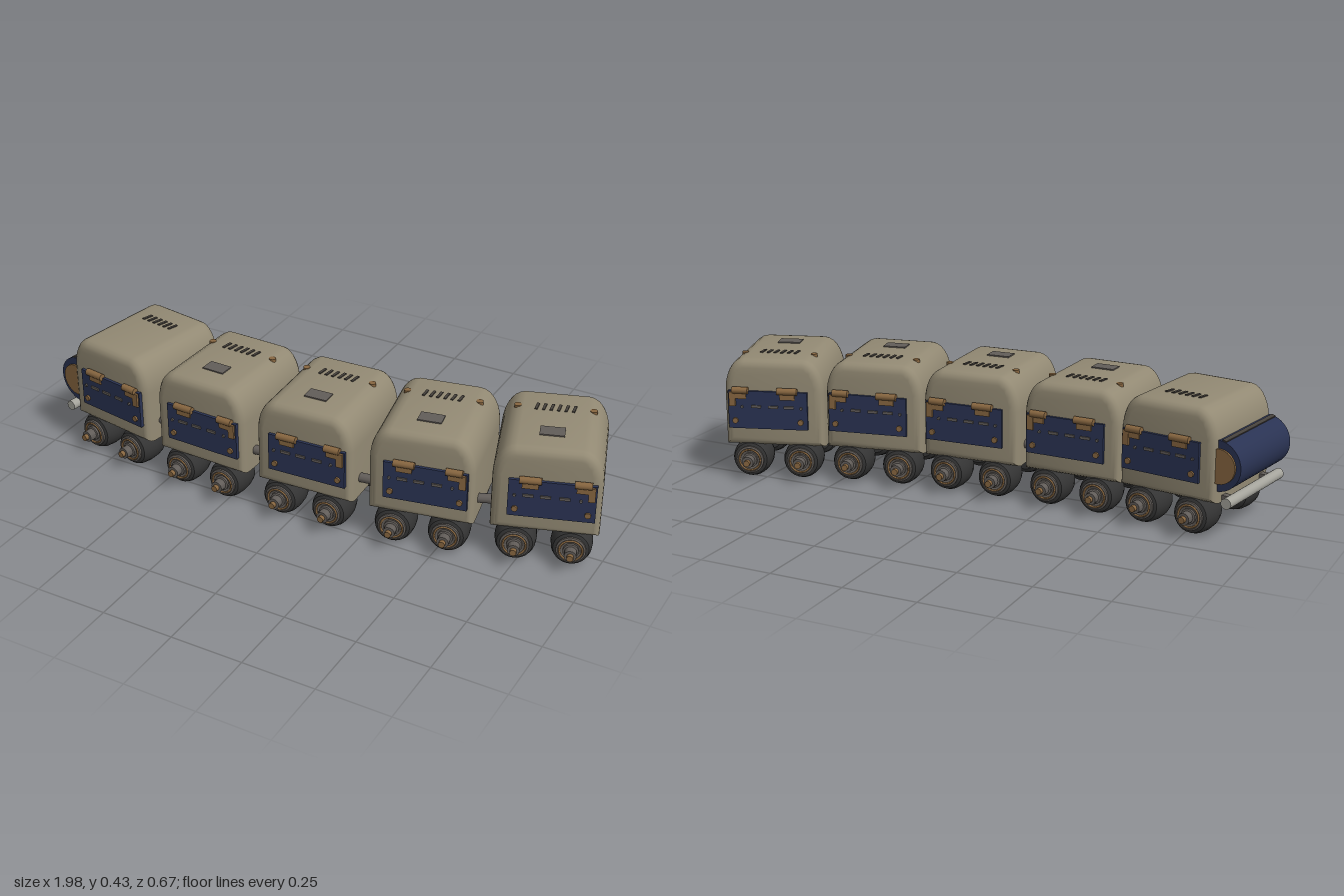
import * as THREE from 'three';
import { toCreasedNormals } from 'three/addons/utils/BufferGeometryUtils.js';

const material = (name, color) => {
  const m = new THREE.MeshStandardMaterial({ color });
  m.name = name;
  return m;
};

export function createModel() {
  const tan = material('tan hull', 0x938a74);
  const navy = material('navy panel', 0x2a3353);
  const copper = material('copper fitting', 0x876640);
  const grey = material('grey metal', 0x625d59);
  const rubber = material('black rubber', 0x343434);
  const dark = material('dark slot', 0x46413c);
  const pale = material('pale bar', 0xa5a49c);

  const root = new THREE.Group();
  root.name = 'segmentedTrain';

  const add = (parent, name, geo, mat, x = 0, y = 0, z = 0) => {
    const m = new THREE.Mesh(geo, mat);
    m.name = name;
    m.position.set(x, y, z);
    parent.add(m);
    return m;
  };
  const box = (w, h, d) => new THREE.BoxGeometry(w, h, d);
  const rodX = (r, l) => new THREE.CylinderGeometry(r, r, l, 14).rotateZ(Math.PI / 2);
  const rodZ = (r, l, n = 24) => new THREE.CylinderGeometry(r, r, l, n).rotateX(Math.PI / 2);
  const lathe = (pts, n = 28) => toCreasedNormals(
    new THREE.LatheGeometry(pts.map(p => new THREE.Vector2(...p)), n).rotateX(Math.PI / 2), 0.6);

  // Hull: arched profile, bevelled at both sides
  const bev = 0.03, half = 0.175 - bev, low = 0.118 + bev, high = 0.427 - bev;
  const arch = new THREE.Shape();
  arch.moveTo(-half, low);
  arch.lineTo(half, low);
  arch.lineTo(half, 0.31);
  arch.bezierCurveTo(half, 0.355, half - 0.02, high, half - 0.045, high);
  arch.lineTo(-half + 0.045, high);
  arch.bezierCurveTo(-half + 0.02, high, -half, 0.355, -half, 0.31);
  arch.closePath();
  const hullGeo = toCreasedNormals(new THREE.ExtrudeGeometry(arch, {
    depth: 0.32, bevelEnabled: true, bevelSize: bev, bevelThickness: 0.033,
    bevelSegments: 4, curveSegments: 8,
  }).translate(0, 0, -0.16), 0.7);

  // Wheel pieces, pointing along +z
  const tireGeo = lathe([[0, 0.075], [0.045, 0.075], [0.059, 0.085], [0.066, 0.11], [0.068, 0.14],
    [0.065, 0.17], [0.058, 0.187], [0.046, 0.192], [0, 0.192]]);
  const rimGeo = lathe([[0.048, 0.188], [0.048, 0.198], [0.042, 0.2], [0.036, 0.196], [0, 0.196]]);
  const hubGeo = lathe([[0.026, 0.195], [0.026, 0.204], [0.02, 0.206], [0.02, 0.232], [0, 0.232]], 16);
  const ringGeo = new THREE.TorusGeometry(0.037, 0.0035, 6, 24).translate(0, 0, 0.199);
  const nubGeo = rodZ(0.011, 0.016, 12).translate(0, 0, 0.238);

  const addWheel = (car, x, s) => {
    const w = new THREE.Group();
    w.name = 'wheel';
    w.position.set(x, 0.068, 0);
    if (s < 0) w.rotation.y = Math.PI;
    add(w, 'tire', tireGeo, rubber);
    add(w, 'rim', rimGeo, grey);
    add(w, 'rimRing', ringGeo, copper);
    add(w, 'hub', hubGeo, grey);
    add(w, 'hubNut', nubGeo, copper);
    car.add(w);
  };

  // Side door with hinges, vents, latch and bolts
  const addDoor = (car, s) => {
    const d = new THREE.Group();
    d.name = 'sideDoor';
    d.position.set(0.018, 0, s * 0.196);
    add(d, 'doorPanel', box(0.278, 0.134, 0.014), navy, 0, 0.251, 0);
    const z = s * 0.009;
    for (const [x, l] of [[-0.07, 0.07], [0.095, 0.055]]) {
      add(d, 'hingeBarrel', rodX(0.012, l), copper, x, 0.321, z);
      add(d, 'hingeLeaf', box(l * 0.75, 0.028, 0.006), copper, x, 0.305, z);
    }
    add(d, 'latch', box(0.022, 0.05, 0.012), copper, 0.123, 0.29, z);
    for (const x of [-0.075, -0.02, 0.04]) add(d, 'doorVent', box(0.034, 0.009, 0.006), grey, x, 0.264, z);
    for (const x of [-0.115, 0.115]) add(d, 'doorBolt', rodZ(0.01, 0.01, 12), copper, x, 0.212, z);
    for (const x of [-0.118, 0.09]) add(d, 'doorStud', rodZ(0.005, 0.008, 8), grey, x, 0.262, z);
    car.add(d);
  };

  // Cars: centre x, centre z, heading in degrees
  const layout = [[-0.715, 0.05, -9.5], [-0.347, 0.085, -2], [0.035, 0.08, 2.5],
    [0.41, 0.034, 11], [0.771, -0.073, 18.5]];
  const cars = layout.map(([x, z, deg], i) => {
    const car = new THREE.Group();
    car.name = 'car' + (i + 1);
    car.position.set(x, 0, z);
    car.rotation.y = THREE.MathUtils.degToRad(deg);
    add(car, 'hull', hullGeo, tan);
    for (const s of [1, -1]) {
      addDoor(car, s);
      for (const wx of [-0.09, 0.09]) addWheel(car, wx, s);
    }
    for (const wx of [-0.09, 0.09]) add(car, 'axle', rodZ(0.018, 0.2, 12), grey, wx, 0.068, 0);

    // Roof slots, with hatch and bolts on the trailing cars
    for (let k = 0; k < 6; k++) {
      add(car, 'roofSlot', box(0.009, 0.005, 0.038), dark, -0.06 + k * 0.024, 0.428, -0.075).rotation.y = -0.15;
    }
    if (i > 0) {
      add(car, 'roofHatch', box(0.08, 0.008, 0.052), grey, 0, 0.427, 0.075);
      for (const bx of [-0.122, 0.122]) {
        add(car, 'roofBolt', new THREE.CylinderGeometry(0.012, 0.012, 0.024, 12), copper, bx, 0.415, -0.08);
      }
    }
    root.add(car);
    return car;
  });

  // Roller and bumper bar on the lead car
  const lead = cars[0];
  add(lead, 'roller', rodZ(0.085, 0.345, 32), navy, -0.168, 0.245, 0);
  for (const s of [1, -1]) {
    add(lead, 'rollerCap', rodZ(0.058, 0.012), copper, -0.178, 0.245, s * 0.174);
    add(lead, 'bumperMount', box(0.07, 0.02, 0.025), grey, -0.185, 0.13, s * 0.13);
  }
  add(lead, 'rollerSeam', box(0.014, 0.008, 0.34), dark, -0.19, 0.327, 0).rotation.z = 0.26;
  add(lead, 'bumperBar', rodZ(0.018, 0.37, 16), pale, -0.212, 0.13, 0);

  // Twin couplers between neighbouring cars
  root.updateMatrixWorld(true);
  for (let i = 0; i < cars.length - 1; i++) {
    for (const z of [-0.12, 0.12]) {
      const a = cars[i].localToWorld(new THREE.Vector3(0.15, 0.185, z));
      const b = cars[i + 1].localToWorld(new THREE.Vector3(-0.15, 0.185, z));
      const path = new THREE.LineCurve3(a, b);
      add(root, 'coupler', new THREE.TubeGeometry(path, 1, 0.016, 10), grey);
    }
  }
  return root;
}
